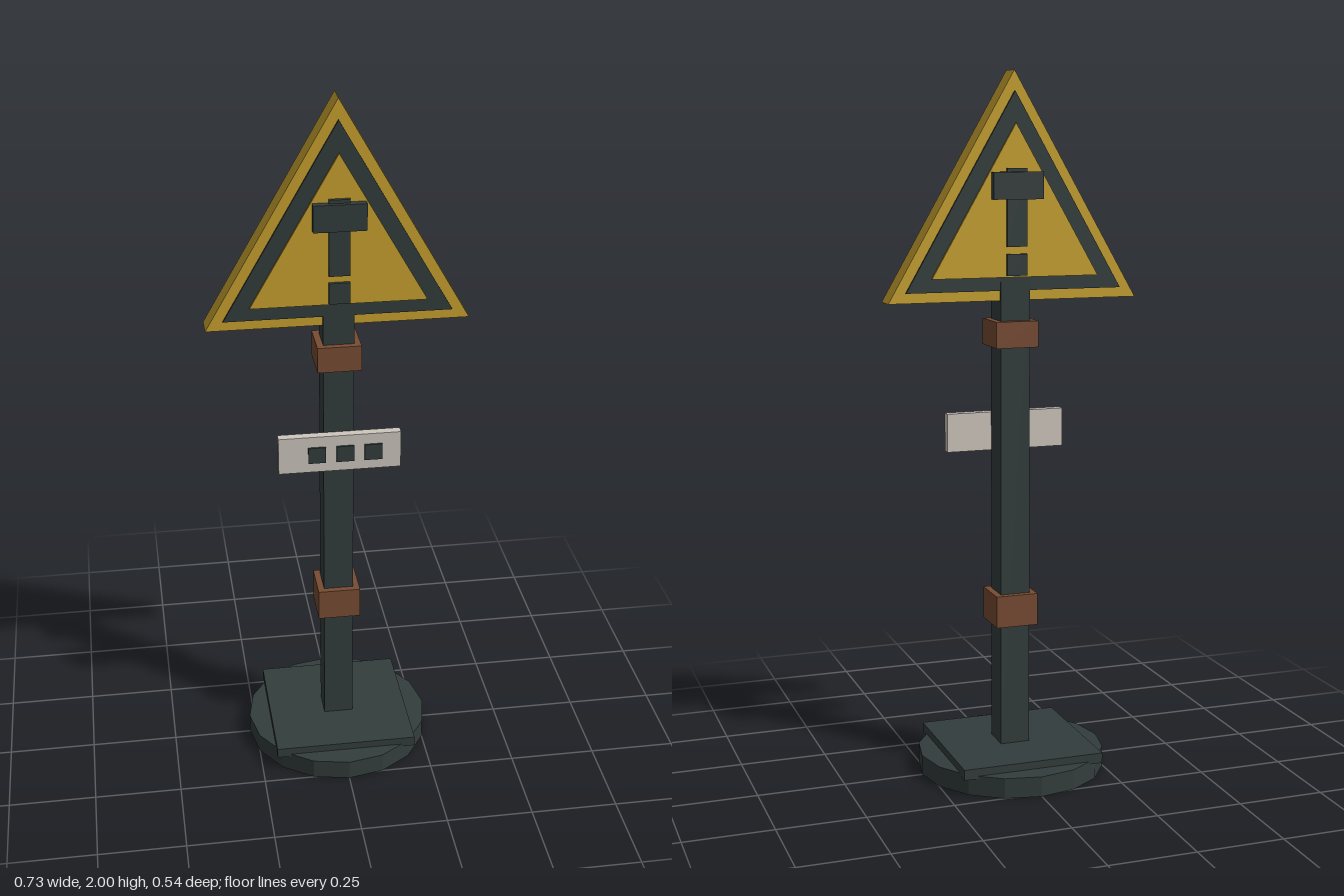
import * as THREE from 'three';

const material = (name, color) => {
  const m = new THREE.MeshStandardMaterial({ color });
  m.name = name;
  return m;
};

export function createModel() {
  const iron = material('dark iron', 0x333d3c);
  const yellow = material('warning yellow', 0xc9a22f);
  const rust = material('rust brown', 0x784c33);
  const pale = material('pale grey', 0xcec7be);

  const model = new THREE.Group();
  model.name = 'warningSignPost';

  const add = (name, geometry, mat, x = 0, y = 0, z = 0) => {
    const mesh = new THREE.Mesh(geometry, mat);
    mesh.name = name;
    mesh.position.set(x, y, z);
    model.add(mesh);
  };
  // Box given by its width, bottom, top, back and front
  const box = (name, mat, x, width, y0, y1, z0, z1) =>
    add(name, new THREE.BoxGeometry(width, y1 - y0, z1 - z0), mat, x, (y0 + y1) / 2, (z0 + z1) / 2);

  // Upright equilateral triangle, extruded evenly about z = 0
  const triangle = (name, mat, y, radius, depth) => {
    const corners = [90, 210, 330].map((deg) => {
      const a = THREE.MathUtils.degToRad(deg);
      return new THREE.Vector2(radius * Math.cos(a), radius * Math.sin(a));
    });
    const geometry = new THREE.ExtrudeGeometry(new THREE.Shape(corners), { depth, bevelEnabled: false });
    add(name, geometry.translate(0, 0, -depth / 2), mat, 0, y, 0);
  };

  // Faceted foot with a square plate
  const foot = new THREE.CylinderGeometry(0.27, 0.27, 0.058, 16).toNonIndexed();
  foot.computeVertexNormals();
  add('foot', foot, iron, 0, 0.029, 0);
  box('footPlate', iron, 0, 0.414, 0.05, 0.08, -0.207, 0.207);

  // Square pole and its two clamps
  box('pole', iron, 0, 0.086, 0.07, 1.45, -0.043, 0.043);
  box('lowerClamp', rust, 0, 0.123, 0.435, 0.527, -0.0615, 0.0615);
  box('upperClamp', rust, 0, 0.123, 1.239, 1.313, -0.0615, 0.0615);

  // Small name plate with three square marks
  box('infoPlate', pale, 0, 0.348, 0.935, 1.045, 0.042, 0.0685);
  for (const x of [-0.065, 0.015, 0.095]) box('plateMark', iron, x, 0.05, 0.965, 1.013, 0.066, 0.0745);

  // Triangular board: rim, dark border and inner field, alike on both faces
  triangle('signBoard', yellow, 1.58, 0.42, 0.07);
  triangle('signBorder', iron, 1.58, 0.364, 0.084);
  triangle('signField', yellow, 1.576, 0.281, 0.1);

  // Hammer-like symbol on both faces
  box('symbolHead', iron, 0, 0.145, 1.65, 1.725, -0.072, 0.072);
  box('symbolStem', iron, 0, 0.058, 1.52, 1.735, -0.06, 0.06);
  box('symbolDot', iron, 0, 0.058, 1.44, 1.5, -0.06, 0.06);

  return model;
}
